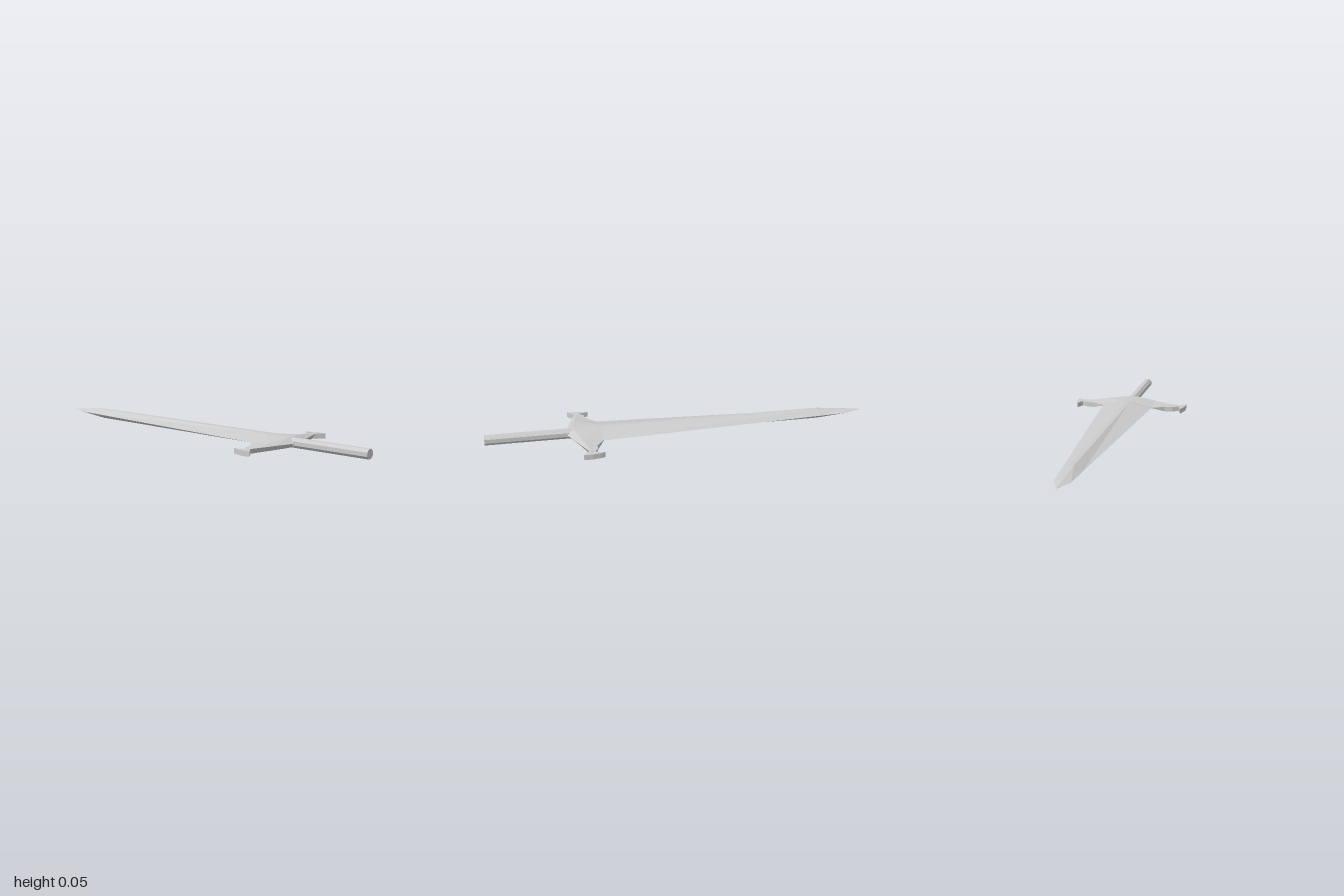
import * as THREE from 'three';

const MID = 0.027;
const material = new THREE.MeshStandardMaterial({ color: 0xcccccc, flatShading: true });

// Skins a row of equal-sized rings and closes both ends, faces outward.
function loft(rings) {
  const tris = [];
  const n = rings[0].length;
  for (let i = 0; i < rings.length - 1; i++) {
    const a = rings[i], b = rings[i + 1];
    for (let j = 0; j < n; j++) {
      const k = (j + 1) % n;
      tris.push([a[j], b[j], b[k]], [a[j], b[k], a[k]]);
    }
  }
  const first = rings[0], last = rings[rings.length - 1];
  for (let j = 1; j < n - 1; j++) {
    tris.push([first[0], first[j], first[j + 1]], [last[0], last[j + 1], last[j]]);
  }
  // Signed volume tells whether the winding must be reversed.
  const volume = tris.reduce((sum, [a, b, c]) => sum + a.dot(b.clone().cross(c)), 0);
  const points = tris.flatMap((t) => (volume < 0 ? [t[0], t[2], t[1]] : t));
  const geometry = new THREE.BufferGeometry().setFromPoints(points);
  geometry.computeVertexNormals();
  return geometry;
}

function addMesh(group, name, geometry) {
  const mesh = new THREE.Mesh(geometry, material);
  mesh.name = name;
  group.add(mesh);
  return mesh;
}

// Blade: flattened six-sided section with a narrow flat ridge.
function bladeGeometry() {
  const stations = [ // x, half width, ridge half width, half thickness
    [-1, 0.001, 0.0005, 0.0005],
    [-0.9, 0.04, 0.006, 0.011],
    [-0.75, 0.051, 0.01, 0.0245],
    [0.42, 0.138, 0.014, 0.0255],
    [0.55, 0.05, 0.014, 0.0255],
  ];
  return loft(stations.map(([x, w, r, h]) => [
    [w, 0], [r, h], [-r, h], [-w, 0], [-r, -h], [r, -h],
  ].map(([z, y]) => new THREE.Vector3(x, MID + y, z - 0.003))));
}

// Guard arm: sections in x and y, swept outward along z.
function armGeometry(side) {
  const stations = [ // z, front x, front top y, front bottom y, ridge x, ridge y, back x
    [0, 0.42, 0.053, 0.002, 0.555, 0.053, 0.59],
    [0.025, 0.42, 0.052, 0.003, 0.555, 0.053, 0.59],
    [0.138, 0.42, 0.028, 0.025, 0.53, 0.041, 0.555],
    [0.2, 0.462, 0.027, 0.001, 0.515, 0.034, 0.535],
    [0.245, 0.467, 0.027, 0.001, 0.505, 0.029, 0.52],
    [0.275, 0.487, 0.026, 0.001, 0.5, 0.027, 0.513],
  ];
  return loft(stations.map(([z, xf, yt, yb, xr, yr, xb]) => [
    [xf, yt], [xr, yr], [xb, MID], [xr, 0.001], [xf, yb],
  ].map(([x, y]) => new THREE.Vector3(x, y, side * z))));
}

// Flared guard tip: flat plate with an outward hook.
function guardTipGeometry(side) {
  const outline = [[0.487, 0.262], [0.487, 0.276], [0.438, 0.292], [0.455, 0.3],
    [0.5, 0.31], [0.545, 0.31], [0.514, 0.262]];
  const shape = new THREE.Shape(outline.map(([x, z]) => new THREE.Vector2(x, side * z)));
  return new THREE.ExtrudeGeometry(shape, { depth: 0.026, bevelEnabled: false })
    .rotateX(Math.PI / 2)
    .translate(0, 0.026, 0);
}

export function createModel() {
  const model = new THREE.Group();
  model.name = 'sword';

  addMesh(model, 'blade', bladeGeometry());

  const guard = new THREE.Group();
  guard.name = 'guard';
  for (const [side, label] of [[1, 'front'], [-1, 'back']]) {
    addMesh(guard, label + 'GuardArm', armGeometry(side));
    addMesh(guard, label + 'GuardTip', guardTipGeometry(side));
  }
  model.add(guard);

  // Eight-sided grip lying along x.
  const grip = new THREE.CylinderGeometry(0.026, 0.026, 0.46, 8)
    .rotateY(Math.PI / 8)
    .rotateZ(-Math.PI / 2);
  addMesh(model, 'grip', grip).position.set(0.77, MID, -0.003);

  return model;
}
